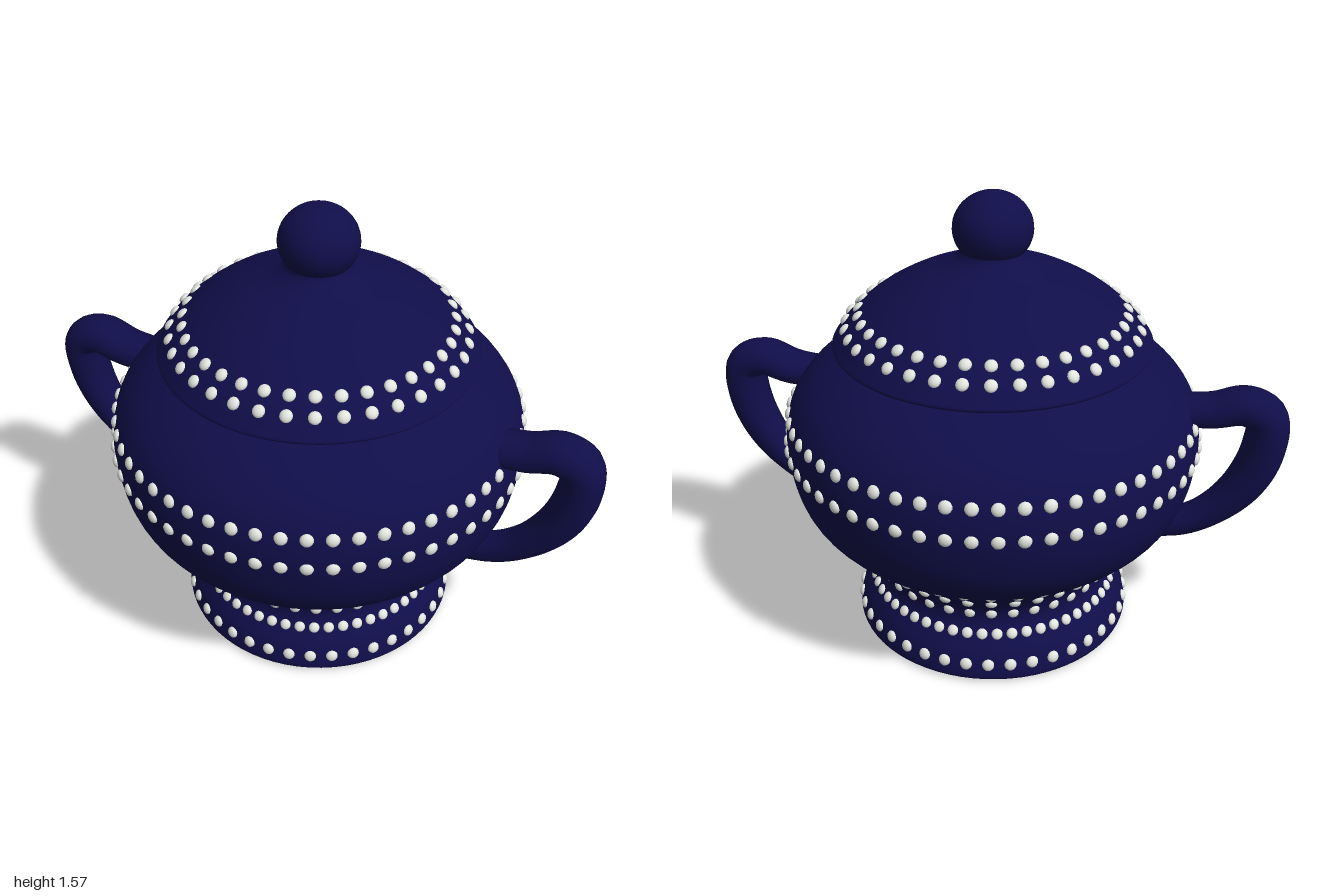
import * as THREE from 'three';
import { mergeGeometries } from 'three/addons/utils/BufferGeometryUtils.js';

const navy = new THREE.MeshStandardMaterial({ color: 0x100e4a });
navy.name = 'navy glaze';
const white = new THREE.MeshStandardMaterial({ color: 0xe4e6e0 });
white.name = 'white glaze';

// Smooth outline through a few [radius, y] points, listed from the underside outward and up
function outline(points, steps) {
  const curve = new THREE.SplineCurve(points.map(([r, y]) => new THREE.Vector2(r, y)));
  return curve.getPoints(steps).map(p => new THREE.Vector2(Math.max(p.x, 0), Math.max(p.y, 0)));
}

function turned(name, profile, material) {
  const mesh = new THREE.Mesh(new THREE.LatheGeometry(profile, 72), material);
  mesh.name = name;
  return mesh;
}

// Ring of flattened beads sitting on a turned outline at height y
function beadRow(name, profile, y, count, size = 0.021) {
  let i = profile.findIndex((p, k) => k > 0 && profile[k - 1].x > 0.2 &&
    (profile[k - 1].y - y) * (p.y - y) <= 0 && p.y > profile[k - 1].y);
  if (i < 1) i = 1;
  const a = profile[i - 1], b = profile[i];
  const r = a.x + (b.x - a.x) * (y - a.y) / (b.y - a.y);
  const tilt = Math.atan2(a.x - b.x, b.y - a.y);
  const beads = [];
  for (let k = 0; k < count; k++) {
    const g = new THREE.SphereGeometry(size, 10, 7);
    g.scale(1, 1, 0.6);
    g.rotateX(-tilt);
    g.translate(0, y, r);
    g.rotateY((k + 0.25) / count * Math.PI * 2);
    beads.push(g);
  }
  const mesh = new THREE.Mesh(mergeGeometries(beads), white);
  mesh.name = name;
  return mesh;
}

// Curved handle whose oval section narrows toward the lower end
function handle(name, side) {
  const path = new THREE.CatmullRomCurve3([
    [0.6, 0.855], [0.74, 0.865], [0.85, 0.893], [0.918, 0.86], [0.922, 0.75],
    [0.88, 0.62], [0.8, 0.51], [0.68, 0.425], [0.5, 0.39],
  ].map(([x, y]) => new THREE.Vector3(side * x, y, 0)));
  const rings = 64, sides = 20;
  const geo = new THREE.TubeGeometry(path, rings, 1, sides, false);
  const pos = geo.attributes.position;
  const v = new THREE.Vector3();
  for (let i = 0; i < pos.count; i++) {
    const t = Math.floor(i / (sides + 1)) / rings;
    const c = path.getPointAt(t);
    const thick = 0.05 + 0.024 * Math.sin(Math.PI * Math.min(1, t * 1.1)) ** 2;
    const wide = 0.086 - 0.026 * Math.min(1, Math.max(0, (t - 0.3) / 0.4));
    v.fromBufferAttribute(pos, i).sub(c);
    pos.setXYZ(i, c.x + v.x * thick, c.y + v.y * thick, v.z * wide + 0.028);
  }
  const mesh = new THREE.Mesh(geo, navy);
  mesh.name = name;
  return mesh;
}

export function createModel() {
  const model = new THREE.Group();
  model.name = 'sugarBowl';

  // Foot: hollow underside, flared base and waisted stem
  const under = outline([[0.275, 0.09], [0.36, 0.05], [0.43, 0.015], [0.47, 0]], 10);
  const foot = outline([[0.47, 0], [0.49, 0.014], [0.488, 0.05], [0.474, 0.1], [0.448, 0.145],
    [0.428, 0.18], [0.421, 0.215], [0.426, 0.25], [0.443, 0.285], [0.468, 0.32],
    [0.503, 0.36], [0.535, 0.395]], 48);
  model.add(turned('footUnderside', under, navy));
  model.add(turned('foot', foot, navy));
  model.add(turned('innerBase', outline([[0, 0.15], [0.15, 0.13], [0.28, 0.088]], 10), white));

  // Bowl
  const bowl = outline([[0.5, 0.375], [0.56, 0.4], [0.615, 0.445], [0.662, 0.51], [0.692, 0.59],
    [0.707, 0.69], [0.706, 0.77], [0.688, 0.85], [0.647, 0.92], [0.585, 0.98],
    [0.51, 1.03], [0.44, 1.062]], 48);
  model.add(turned('bowl', bowl, navy));

  // Lid: flat underside, rim and dome flowing into the neck
  const lid = outline([[0.53, 1.058], [0.535, 1.068], [0.52, 1.09], [0.49, 1.13], [0.445, 1.173],
    [0.37, 1.23], [0.27, 1.285], [0.17, 1.325], [0.125, 1.35], [0.106, 1.375], [0.11, 1.4]], 48);
  const rim = [new THREE.Vector2(0, 1.066), new THREE.Vector2(0.42, 1.066), new THREE.Vector2(0.53, 1.058)];
  model.add(turned('lidUnderside', rim, navy));
  model.add(turned('lid', lid, navy));

  // Knob
  const knob = new THREE.Mesh(new THREE.SphereGeometry(0.132, 40, 28), navy);
  knob.name = 'knob';
  knob.scale.y = 0.92;
  knob.position.y = 1.447;
  model.add(knob);

  // Handles on both sides
  model.add(handle('leftHandle', 1), handle('rightHandle', -1));

  // Bead rows
  [[0.068, 40, 0.021], [0.163, 54, 0.019], [0.237, 36, 0.019], [0.3, 36, 0.02], [0.366, 36, 0.02]]
    .forEach(([y, n, s], i) => model.add(beadRow('footBeads' + (i + 1), foot, y, n, s)));
  [0.72, 0.827].forEach((y, i) => model.add(beadRow('bowlBeads' + (i + 1), bowl, y, 56, 0.022)));
  [1.128, 1.172].forEach((y, i) => model.add(beadRow('lidBeads' + (i + 1), lid, y, 36)));

  return model;
}
